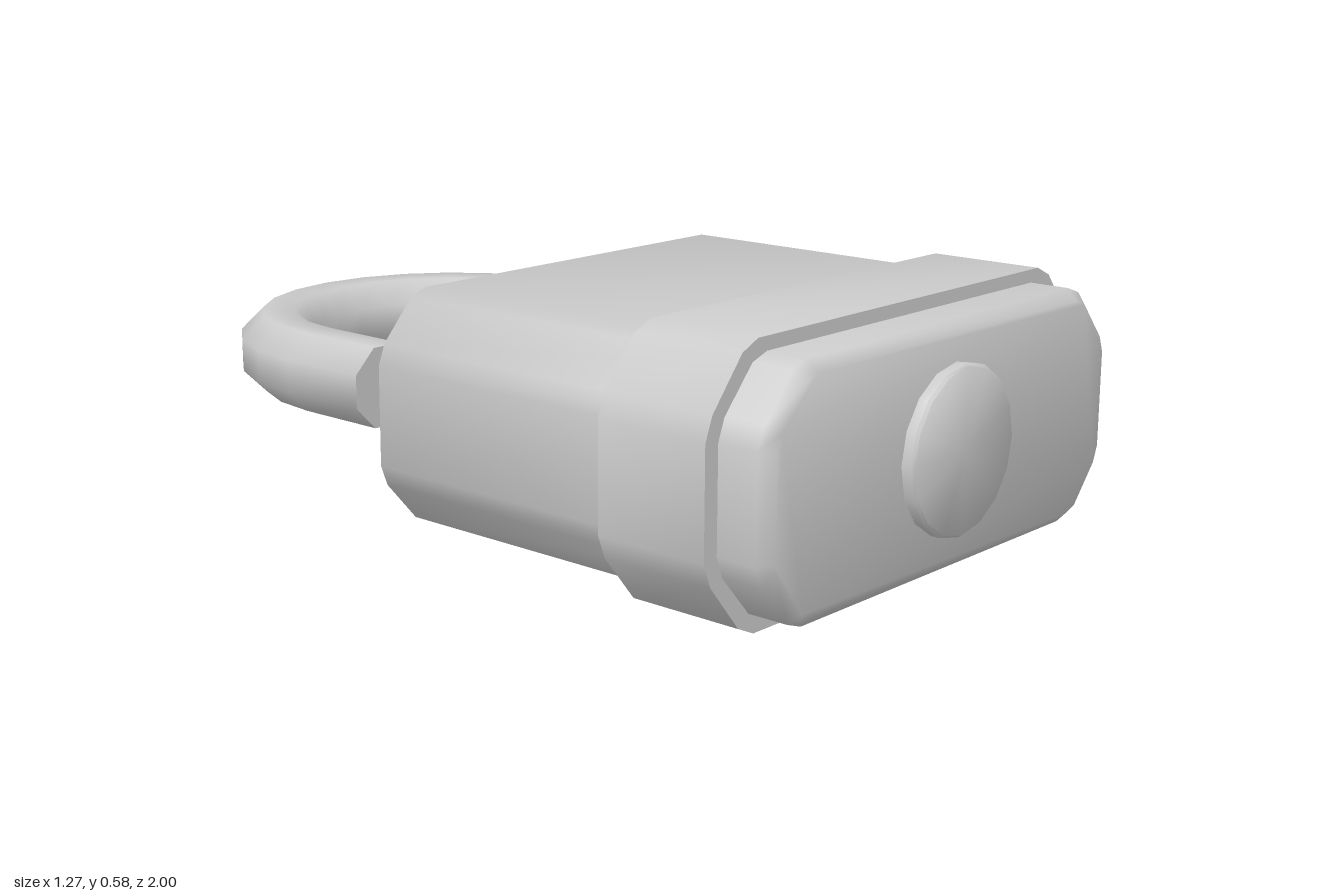
import * as THREE from 'three';
import { toCreasedNormals } from 'three/addons/utils/BufferGeometryUtils.js';

const MID_Y = 0.289;
const CREASE = 1.0;
const material = new THREE.MeshStandardMaterial({ color: 0xcccccc });

// Mesh with smooth chamfers and sharp square edges
function part(name, geometry, z) {
  const mesh = new THREE.Mesh(toCreasedNormals(geometry, CREASE), material);
  mesh.name = name;
  mesh.position.set(0, MID_Y, z);
  return mesh;
}

// Closed outline mirrored into four quadrants from one softened corner
function cornerShape(corner) {
  const back = [...corner].reverse();
  return new THREE.Shape([
    ...corner,
    ...back.map(([x, y]) => [-x, y]),
    ...corner.map(([x, y]) => [-x, -y]),
    ...back.map(([x, y]) => [x, -y]),
  ].map(([x, y]) => new THREE.Vector2(x, y)));
}

// Eight-sided bar swept along the hook path, with closed ends
function shackleGeometry() {
  const sides = 8, arcSteps = 12, bend = 0.4, bendZ = -0.5075;
  const radius = 0.0925 / Math.cos(Math.PI / sides);
  const stations = [[bend, 0, 0]];
  for (let i = 0; i <= arcSteps; i++) {
    const a = (i / arcSteps) * Math.PI;
    stations.push([bend * Math.cos(a), bendZ - bend * Math.sin(a), a]);
  }
  stations.push([-bend, -0.271, Math.PI]);

  const positions = [], index = [];
  for (const [x, z, a] of stations) {
    for (let j = 0; j < sides; j++) {
      const t = ((j + 0.5) / sides) * Math.PI * 2;
      const out = radius * Math.cos(t);
      positions.push(x + out * Math.cos(a), radius * Math.sin(t), z - out * Math.sin(a));
    }
  }
  const last = (stations.length - 1) * sides;
  for (let i = 0; i < last; i += sides) {
    for (let j = 0; j < sides; j++) {
      const k = (j + 1) % sides;
      index.push(i + j, i + sides + k, i + k, i + j, i + sides + j, i + sides + k);
    }
  }
  for (let j = 1; j < sides - 1; j++) {
    index.push(0, j, j + 1, last, last + j + 1, last + j);
  }
  const geometry = new THREE.BufferGeometry();
  geometry.setAttribute('position', new THREE.Float32BufferAttribute(positions, 3));
  geometry.setIndex(index);
  return geometry;
}

export function createModel() {
  const group = new THREE.Group();
  group.name = 'padlock';

  // Body block with chamfered end faces
  const bodyShape = cornerShape([[0.6, 0.11], [0.583, 0.155], [0.503, 0.245], [0.46, 0.26]]);
  group.add(part('body', new THREE.ExtrudeGeometry(bodyShape, {
    depth: 1.02, bevelEnabled: true, bevelSegments: 1,
    bevelThickness: 0.025, bevelSize: 0.025, bevelOffset: -0.025,
  }), -0.073));

  // Raised band around the body
  const bandShape = cornerShape([[0.637, 0.115], [0.618, 0.165], [0.533, 0.268], [0.487, 0.289]]);
  group.add(part('band', new THREE.ExtrudeGeometry(bandShape, {
    depth: 0.265, bevelEnabled: false,
  }), 0.59));

  // Round key plate on the front
  const profile = [[0.18, 0], [0.18, 0.024], [0.174, 0.03], [0, 0.03]]
    .map(([r, h]) => new THREE.Vector2(r, h));
  group.add(part('keyPlate', new THREE.LatheGeometry(profile, 16).rotateX(Math.PI / 2), 0.97));

  // Open shackle, one leg held in the body
  group.add(part('shackle', shackleGeometry(), 0));

  return group;
}
